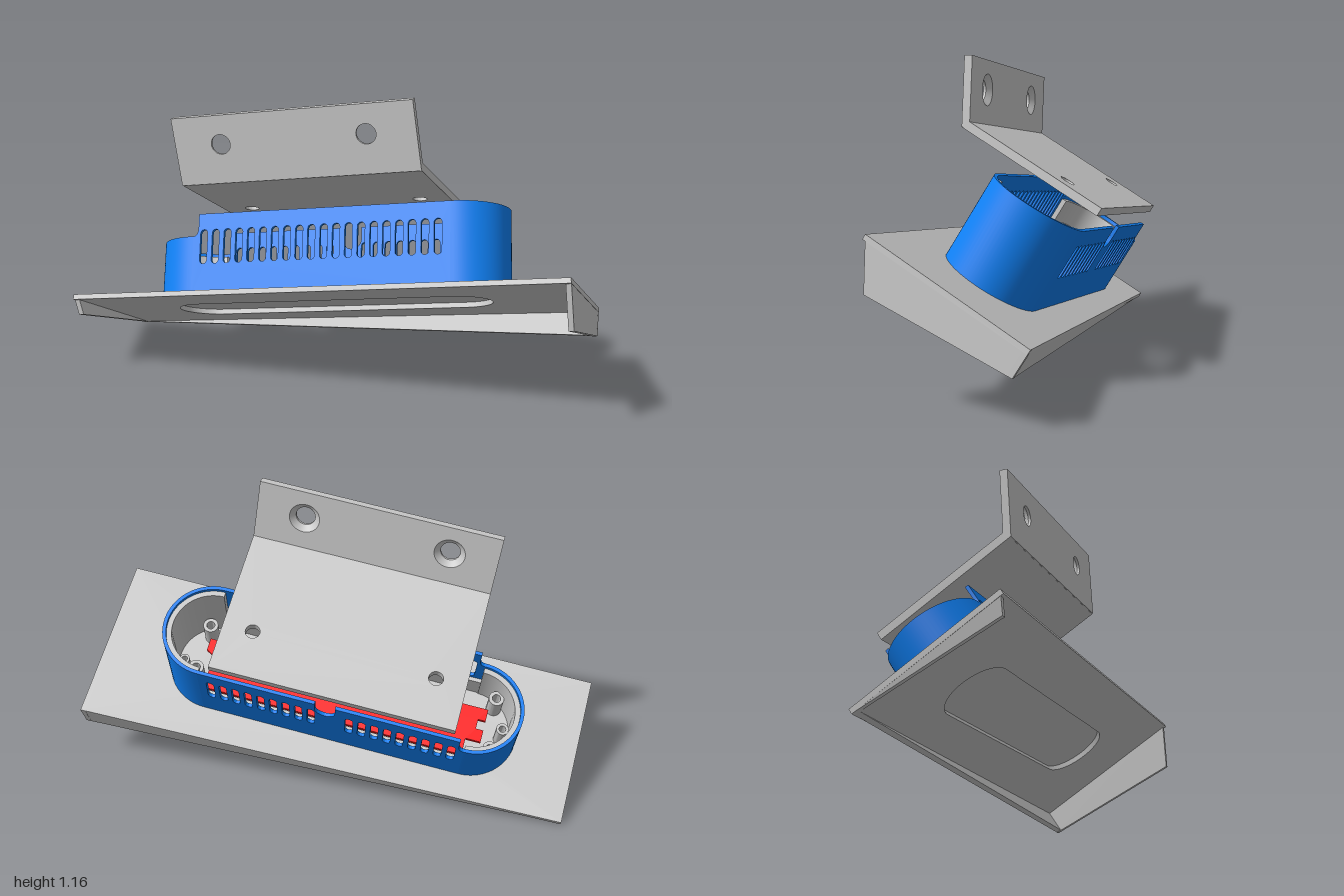
import * as THREE from 'three';
import { toCreasedNormals } from 'three/addons/utils/BufferGeometryUtils.js';
import { ConvexGeometry } from 'three/addons/geometries/ConvexGeometry.js';

const grey = new THREE.MeshStandardMaterial({ color: 0xcccccc });
const greyThin = new THREE.MeshStandardMaterial({ color: 0xcccccc, side: THREE.DoubleSide });
const blue = new THREE.MeshStandardMaterial({ color: 0x1080f4 });
const red = new THREE.MeshStandardMaterial({ color: 0xff1010 });

// Casing layout in the tilted frame: x along, y up from the tray, z to the front
const CX = 0.02, CZ = 0.182, R = 0.19, HALF = 0.525;
const BASE = 0.23, TOP = 0.565, LOW = 0.475, SKIN = 0.014;

function add(parent, name, geometry, material) {
  const mesh = new THREE.Mesh(geometry, material);
  mesh.name = name;
  parent.add(mesh);
  return mesh;
}

function extrude(shape, depth) {
  const g = new THREE.ExtrudeGeometry(shape, { depth, bevelEnabled: false, curveSegments: 20 });
  return toCreasedNormals(g, 0.5);
}

// Plan shape (x, -z) raised from y0 to y1
function slab(shape, y0, y1) {
  return extrude(shape, y1 - y0).rotateX(-Math.PI / 2).translate(0, y0, 0);
}

function polygon(points) {
  return new THREE.Shape(points.map(([x, y]) => new THREE.Vector2(x, y)));
}

// Plan polygon given as x, z
const plan = points => polygon(points.map(([x, z]) => [x, -z]));

function circle(x, y, r) {
  return new THREE.Path().absarc(x, y, r, 0, Math.PI * 2, true);
}

function stadium(half, r, cx = CX, cy = -CZ) {
  const s = new THREE.Shape();
  s.absarc(cx + half, cy, r, -Math.PI / 2, Math.PI / 2, false);
  s.absarc(cx - half, cy, r, Math.PI / 2, Math.PI * 1.5, false);
  s.closePath();
  return s;
}

// Half ring for one rounded end, side = 1 or -1
function endRing(side, outer, inner) {
  const a = side > 0 ? -Math.PI / 2 : Math.PI / 2;
  const s = new THREE.Shape();
  s.absarc(CX + side * HALF, -CZ, outer, a, a + Math.PI, false);
  s.absarc(CX + side * HALF, -CZ, inner, a + Math.PI, a, true);
  s.closePath();
  return s;
}

// Upright vent opening with rounded ends
function vent(x, y0, y1, w) {
  const p = new THREE.Path(), r = w / 2;
  p.absarc(x, y1 - r, r, 0, Math.PI, false);
  p.absarc(x, y0 + r, r, Math.PI, Math.PI * 2, false);
  p.closePath();
  return p;
}

// Long casing wall with vents; the rear one has a cable notch in the middle
function ventWall(rear) {
  const x0 = CX - HALF, x1 = CX + HALF;
  const s = new THREE.Shape();
  s.moveTo(x0, BASE);
  s.lineTo(x1, BASE);
  s.lineTo(x1, TOP);
  if (rear) {
    s.lineTo(CX + 0.06, TOP);
    s.lineTo(CX + 0.06, 0.515);
    s.absarc(CX + 0.02, 0.515, 0.04, 0, Math.PI, true);
    s.lineTo(CX - 0.02, TOP);
  }
  s.lineTo(x0 + 0.022, TOP);
  s.lineTo(x0 + 0.022, LOW + 0.03);
  s.quadraticCurveTo(x0 + 0.02, LOW, x0, LOW);
  s.closePath();
  for (let i = 0; i < 20; i++) {
    if (rear && (i === 9 || i === 10)) continue;
    s.holes.push(vent(CX + (i - 9.5) * 0.0503, 0.363, 0.5, 0.03));
  }
  return extrude(s, SKIN);
}

// Sloping skirt wall: top and bottom corners plus an inward offset
function skirt(corners, inward) {
  const pts = [];
  for (const c of corners) {
    const p = new THREE.Vector3(...c);
    pts.push(p, p.clone().add(new THREE.Vector3(...inward)));
  }
  return new ConvexGeometry(pts);
}

function buildTray(parent) {
  const tray = new THREE.Group();
  tray.name = 'tray';
  const top = plan([[-0.942, 0.518], [1.012, 0.518], [1.018, -0.154], [-0.938, -0.095]]);
  top.holes.push(stadium(0.515, 0.128, 0.023, -0.19));
  add(tray, 'trayPlate', slab(top, 0.21, BASE), grey);
  add(tray, 'trayRightSkirt', skirt([[1.012, BASE, 0.518], [1.018, BASE, -0.154],
    [1.012, 0.116, -0.152], [1.005, 0.056, 0.419]], [-0.02, 0, 0]), grey);
  add(tray, 'trayLeftSkirt', skirt([[-0.942, BASE, 0.518], [-0.938, BASE, -0.095],
    [-0.938, 0.211, -0.09], [-0.935, 0.156, 0.476]], [0.02, 0, 0]), grey);
  add(tray, 'trayRearSkirt', skirt([[1.018, BASE, -0.154], [-0.938, BASE, -0.095],
    [-0.938, 0.211, -0.093], [1.012, 0.116, -0.152]], [0, 0, 0.02]), grey);
  parent.add(tray);
}

function buildCasing(parent) {
  const casing = new THREE.Group();
  casing.name = 'casing';
  add(casing, 'frontVentWall', ventWall(false), blue).position.z = CZ + R - SKIN;
  add(casing, 'rearVentWall', ventWall(true), blue).position.z = CZ - R;
  for (const side of [-1, 1]) {
    const h = side > 0 ? TOP : LOW;
    add(casing, 'roundedEnd', slab(endRing(side, R, R - SKIN), BASE, h), blue);
    add(casing, 'endLiner', slab(endRing(side, R - SKIN, R - 0.034), BASE, h - 0.015), grey);
    // long liner strips stay below the vents
    const z = CZ + side * (R - SKIN - 0.008);
    add(casing, 'sideLiner', new THREE.BoxGeometry(2 * HALF, 0.12, 0.016), grey)
      .position.set(CX, BASE + 0.06, z);
  }
  add(casing, 'casingFloor', slab(stadium(HALF, R - 0.005), BASE, 0.25), grey);

  // Screw bosses
  for (const [x, z, r, h] of [[0.6, 0.1, 0.03, 0.36], [0.66, 0.13, 0.02, 0.34], [0.6, 0.29, 0.03, 0.36],
    [-0.6, 0.08, 0.028, 0.36], [-0.63, 0.17, 0.024, 0.36], [-0.58, 0.29, 0.03, 0.36]]) {
    const s = new THREE.Shape().absarc(x, -z, r, 0, Math.PI * 2, false);
    s.holes.push(circle(x, -z, r * 0.55));
    add(casing, 'screwBoss', slab(s, 0.25, h), grey);
  }
  // Circuit board with stepped ends
  add(casing, 'circuitBoard', slab(plan([[-0.56, 0.24], [0.585, 0.24], [0.585, 0.19], [0.55, 0.17],
    [0.55, 0.03], [-0.5, 0.03], [-0.5, 0.1], [-0.56, 0.1], [-0.56, 0.15],
    [-0.53, 0.15], [-0.53, 0.19], [-0.56, 0.19]]), 0.33, 0.345), red);
  parent.add(casing);
}

function buildBracket(upright, tilted) {
  const plate = plan([[-0.456, 0.588], [0.492, 0.588], [0.492, -0.006], [-0.456, -0.006]]);
  for (const s of [-1, 1]) plate.holes.push(circle(0.018 + s * 0.356, -0.178, 0.028));
  add(tilted, 'bracketPlate', slab(plate, 0.626, 0.658), grey);

  // Upright flange in two layers, with countersunk holes at the rear
  const flange = new THREE.Group();
  flange.name = 'bracketFlange';
  for (const [z, depth, r] of [[0.17, 0.02, 0.06], [0.19, 0.01, 0.038]]) {
    const s = polygon([[-0.456, 0.838], [0.492, 0.838], [0.492, 1.1], [-0.456, 1.1]]);
    for (const k of [-1, 1]) s.holes.push(circle(0.0165 + k * 0.286, 0.988, r));
    add(flange, 'flangeLayer', extrude(s, depth).translate(0, 0, z), grey);
  }
  for (const k of [-1, 1]) {
    const cone = new THREE.CylinderGeometry(0.038, 0.06, 0.02, 40, 1, true).rotateX(Math.PI / 2);
    add(flange, 'countersink', cone, greyThin).position.set(0.0165 + k * 0.286, 0.988, 0.18);
  }
  upright.add(flange);
}

export function createModel() {
  const model = new THREE.Group();
  model.name = 'bracketedCasing';
  const upright = new THREE.Group();
  upright.name = 'rolledAssembly';
  upright.rotation.z = THREE.MathUtils.degToRad(8.3);
  const tilted = new THREE.Group();
  tilted.name = 'tiltedAssembly';
  tilted.rotation.x = -Math.PI / 6;
  upright.add(tilted);
  model.add(upright);
  buildTray(tilted);
  buildCasing(tilted);
  buildBracket(upright, tilted);
  return model;
}
